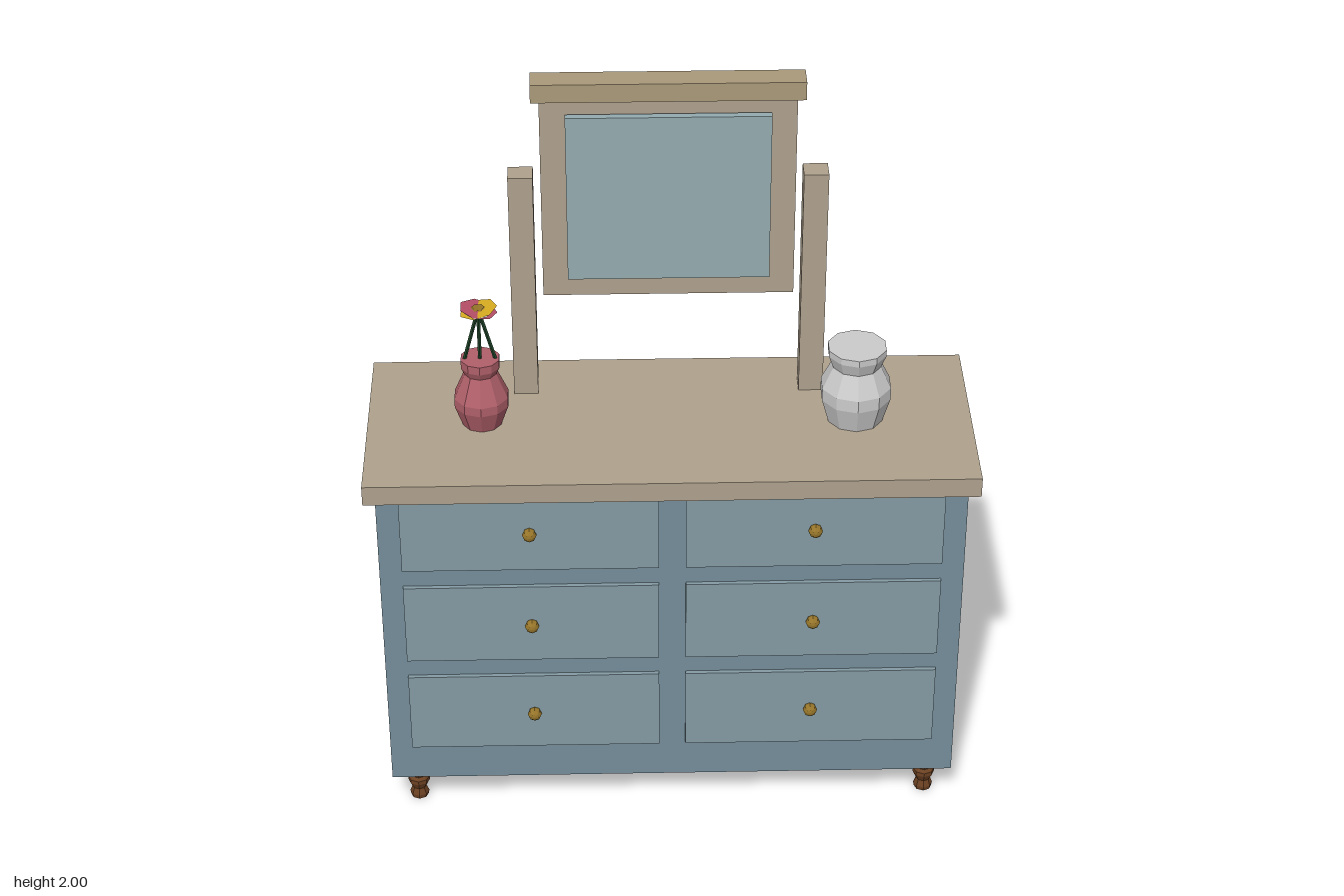
import * as THREE from 'three';

const mat = (color) => new THREE.MeshStandardMaterial({ color, flatShading: true });

export function createModel() {
  const root = new THREE.Group();
  root.name = 'dresser';

  const wood = mat(0xafa28e), capWood = mat(0xab9a7a), paint = mat(0x748d99);
  const drawerPaint = mat(0x849ba4), glass = mat(0x94abb0), legWood = mat(0x6b4122);
  const brass = mat(0x96752a), pink = mat(0xb0606a), grey = mat(0xcccccc), green = mat(0x1f4428);

  const add = (name, geometry, material, parent = root) => {
    const mesh = new THREE.Mesh(geometry, material);
    mesh.name = name;
    parent.add(mesh);
    return mesh;
  };
  // Box given by its extents along each axis
  const box = (name, material, [x0, x1], [y0, y1], [z0, z1]) => {
    const mesh = add(name, new THREE.BoxGeometry(x1 - x0, y1 - y0, z1 - z0), material);
    mesh.position.set((x0 + x1) / 2, (y0 + y1) / 2, (z0 + z1) / 2);
    return mesh;
  };
  // Turned shape from [radius, height] pairs
  const turned = (name, material, profile, sides, x, y, z) => {
    const points = profile.map(([r, h]) => new THREE.Vector2(r, h));
    const mesh = add(name, new THREE.LatheGeometry(points, sides), material);
    mesh.position.set(x, y, z);
    return mesh;
  };

  // Cabinet and worktop
  box('cabinet', paint, [-0.76, 0.76], [0.11, 1.03], [-0.275, 0.265]);
  box('worktop', wood, [-0.79, 0.79], [1.03, 1.085], [-0.302, 0.29]);

  // Turned feet
  const footProfile = [[0, 0], [0.024, 0], [0.026, 0.012], [0.019, 0.03], [0.03, 0.052],
    [0.03, 0.064], [0.022, 0.072], [0.028, 0.1], [0.028, 0.112], [0, 0.112]];

  for (const side of [-1, 1]) {
    for (const z of [0.203, -0.21]) turned('foot', legWood, footProfile, 8, side * 0.693, 0, z);

    // Three drawers with knobs per column
    for (let row = 0; row < 3; row++) {
      const y = 0.342 + row * 0.2935;
      const drawer = box('drawer', drawerPaint, [-0.333, 0.333], [y - 0.119, y + 0.119], [0.255, 0.277]);
      drawer.position.x = side * 0.368;
      const knob = add('knob', new THREE.SphereGeometry(0.019, 8, 6), brass);
      knob.position.set(side * 0.368, y, 0.289);
      knob.rotation.x = Math.PI / 2;
      knob.scale.y = 0.9;
    }

    // Mirror post
    const post = box('mirrorPost', wood, [-0.032, 0.032], [1.085, 1.735], [-0.2, -0.138]);
    post.position.x = side * 0.377;
  }

  // Mirror
  box('mirrorFrame', wood, [-0.325, 0.325], [1.385, 1.95], [-0.19, -0.145]);
  box('mirrorCap', capWood, [-0.346, 0.346], [1.95, 2.0], [-0.205, -0.135]);
  box('mirrorGlass', glass, [-0.26, 0.26], [1.45, 1.917], [-0.135, -0.114]);

  // Vases
  turned('greyVase', grey, [[0, 0], [0.074, 0], [0.094, 0.07], [0.094, 0.105], [0.065, 0.165],
    [0.078, 0.2], [0.078, 0.218], [0, 0.218]], 10, 0.485, 1.085, -0.008);
  turned('pinkVase', pink, [[0, 0], [0.052, 0], [0.073, 0.06], [0.073, 0.085], [0.043, 0.155],
    [0.052, 0.175], [0.052, 0.198], [0, 0.198]], 10, -0.49, 1.085, -0.008);

  // Flowers: three stems meeting at one point, each carrying a flat head
  const bouquet = new THREE.Group();
  bouquet.name = 'flowers';
  bouquet.position.set(-0.49, 1.43, -0.005);
  root.add(bouquet);
  [0xb85068, 0xd8d4d0, 0xd8ac20].forEach((color, i) => {
    const lean = i - 1;
    const stemPath = new THREE.LineCurve3(
      new THREE.Vector3(lean * 0.043, -0.16, 0), new THREE.Vector3(0, 0, 0));
    add('stem', new THREE.TubeGeometry(stemPath, 1, 0.005, 5), green, bouquet);

    const head = new THREE.Group();
    head.name = 'flowerHead';
    head.rotation.z = lean * 0.2;
    bouquet.add(head);
    const petalPaint = mat(color);
    petalPaint.side = THREE.DoubleSide;
    const petals = add('petals', new THREE.CircleGeometry(0.05, 7), petalPaint, head);
    petals.rotation.x = -Math.PI / 2;
    if (lean === 0) petals.scale.x = 0.75;
    const centre = add('flowerCentre', new THREE.CircleGeometry(0.018, 6), brass, head);
    centre.rotation.x = -Math.PI / 2;
    centre.position.y = 0.004;
  });

  return root;
}
